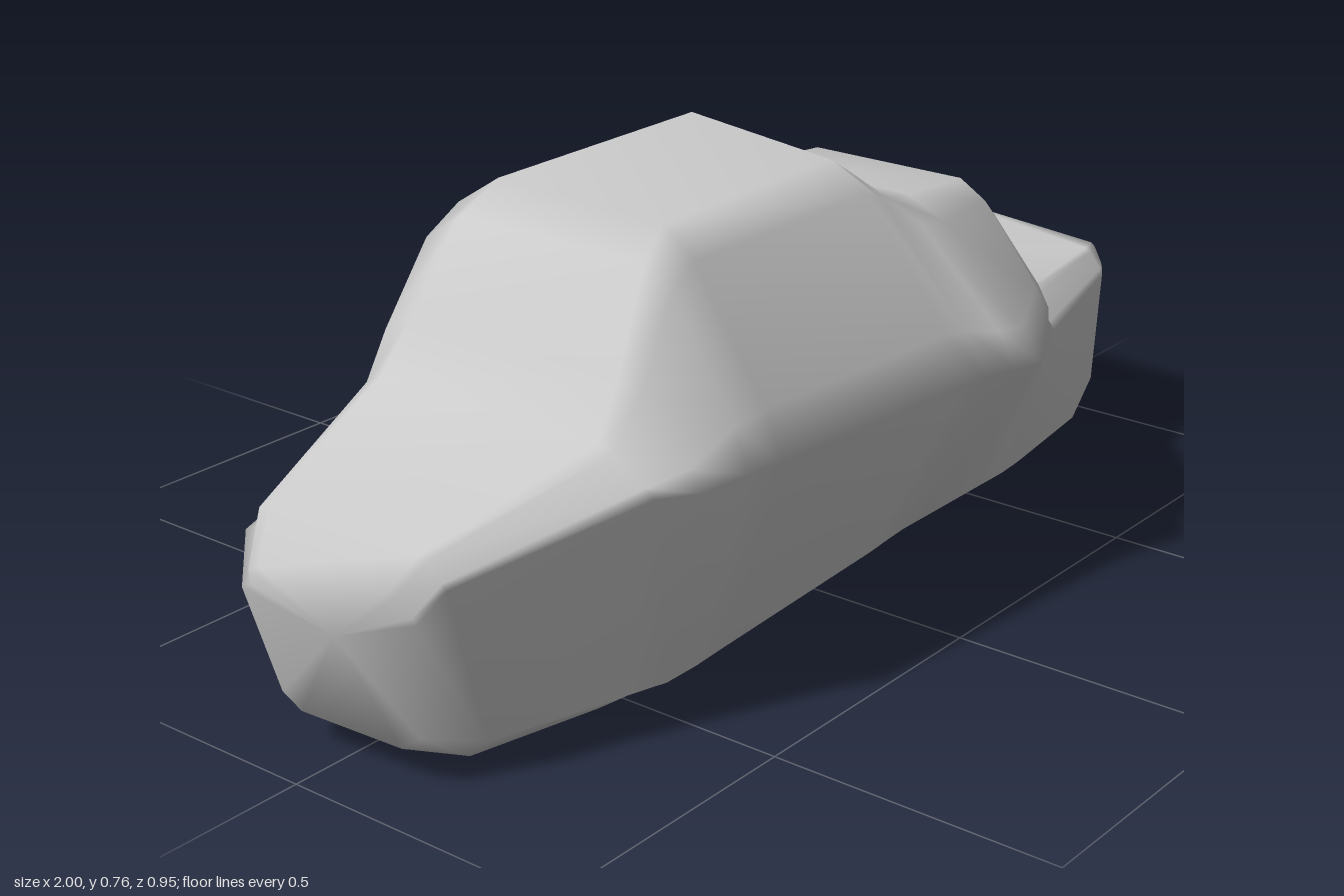
import * as THREE from 'three';

// Stations along the rock, from -x to +x:
// x at top, x at bottom, top y front/back, top z front/back, waist z front/back, foot z front
const STATIONS = [
  [-0.975, -0.89, 0.33, 0.335, 0.14, -0.06, 0.18, -0.10, 0.16],
  [-0.89, -0.78, 0.37, 0.38, 0.15, -0.13, 0.195, -0.18, 0.19],
  [-0.57, -0.55, 0.46, 0.46, 0.22, -0.23, 0.33, -0.31, 0.26],
  [-0.51, -0.48, 0.54, 0.54, 0.21, -0.22, 0.37, -0.36, 0.28],
  [-0.41, -0.41, 0.69, 0.69, 0.18, -0.20, 0.38, -0.39, 0.28],
  [-0.34, -0.34, 0.73, 0.74, 0.16, -0.18, 0.39, -0.405, 0.275],
  [0.10, 0.10, 0.73, 0.76, 0.15, -0.14, 0.43, -0.47, 0.25],
  [0.15, 0.15, 0.70, 0.72, 0.15, -0.13, 0.44, -0.48, 0.245],
  [0.21, 0.21, 0.645, 0.65, 0.19, -0.12, 0.46, -0.455, 0.24],
  [0.26, 0.26, 0.64, 0.64, 0.20, -0.12, 0.475, -0.41, 0.24],
  [0.45, 0.45, 0.62, 0.62, 0.18, -0.13, 0.37, -0.27, 0.24],
  [0.50, 0.50, 0.57, 0.57, 0.18, -0.14, 0.34, -0.235, 0.24],
  [0.53, 0.53, 0.42, 0.42, 0.22, -0.17, 0.315, -0.215, 0.24],
  [0.59, 0.59, 0.37, 0.385, 0.22, -0.18, 0.30, -0.21, 0.235],
  [0.91, 0.83, 0.37, 0.41, 0.17, -0.17, 0.21, -0.23, 0.20],
  [1.00, 0.94, 0.35, 0.37, 0.13, -0.15, 0.16, -0.19, 0.17],
];
// The -x end slants: x shift per unit of z on its first stations
const END_SKEW = [0.3, 0.1];
const lerp = THREE.MathUtils.lerp;

// One side of a cross-section as [z, y], from the bottom edge up to the top edge
function sideProfile(front, topY, topZ, waistZ, footZ, isEnd) {
  const waistY = Math.min(front ? 0.40 : 0.33, topY - 0.045);
  const shoulderZ = lerp(topZ, waistZ, front ? 0.27 : 0.4);
  const shoulderY = lerp(waistY, topY, 0.86);
  const bottomZ = Math.sign(footZ) * Math.min(0.75 * Math.abs(footZ), front ? 0.2 : 0.18);
  return [
    [bottomZ, isEnd ? 0.06 : 0.004],
    [footZ, isEnd ? 0.09 : 0.05],
    [waistZ, waistY],
    [lerp(waistZ, shoulderZ, front ? 0.2 : 0.71), lerp(waistY, shoulderY, 0.27)],
    [shoulderZ, shoulderY],
    [topZ, topY],
  ];
}

function makeRing([xTop, xBottom, yF, yB, zF, zB, wF, wB, foot], index) {
  const isEnd = index === 0 || index === STATIONS.length - 1;
  const skew = END_SKEW[index] ?? 0;
  const profile = [
    ...sideProfile(true, yF, zF, wF, foot, isEnd),
    ...sideProfile(false, yB, zB, wB, 0.66 * wB - 0.04, isEnd).reverse(),
  ];
  return profile.map(([z, y]) => new THREE.Vector3(
    lerp(xBottom, xTop + skew * z, Math.min(1, y / 0.33)), y, z));
}

function loft(rings) {
  const n = rings[0].length;
  const points = rings.flat();
  const faces = [];
  // skin between neighbouring cross-sections
  for (let i = 0; i < rings.length - 1; i++) {
    for (let j = 0; j < n; j++) {
      const a = i * n + j, b = i * n + (j + 1) % n;
      faces.push(a, a + n, b, b, a + n, b + n);
    }
  }
  // end caps
  for (const end of [0, rings.length - 1]) {
    const centre = points.length;
    points.push(rings[end].reduce((s, p) => s.add(p), new THREE.Vector3()).divideScalar(n));
    for (let j = 0; j < n; j++) {
      const a = end * n + j, b = end * n + (j + 1) % n;
      if (end === 0) faces.push(centre, a, b);
      else faces.push(centre, b, a);
    }
  }
  const geometry = new THREE.BufferGeometry().setFromPoints(points);
  geometry.setIndex(faces);
  geometry.computeVertexNormals();
  return geometry;
}

export function createModel() {
  const group = new THREE.Group();
  group.name = 'rock';
  const body = new THREE.Mesh(
    loft(STATIONS.map(makeRing)),
    new THREE.MeshStandardMaterial({ color: 0xcccccc }));
  body.name = 'rockBody';
  group.add(body);
  return group;
}
